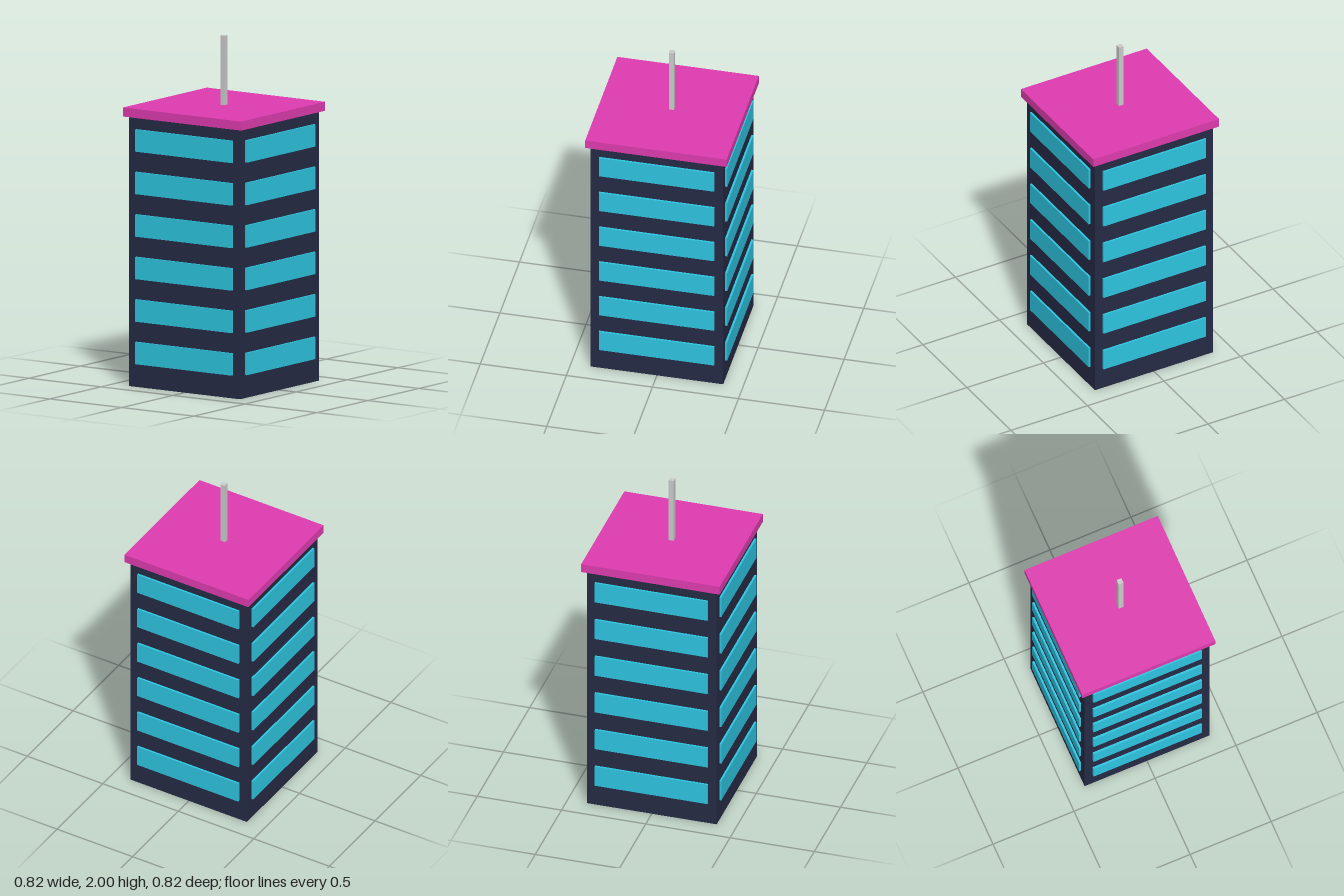
import * as THREE from 'three';

const paint = (color) => new THREE.MeshStandardMaterial({ color });

export function createModel() {
  const model = new THREE.Group();
  model.name = 'tower';
  const wall = paint(0x262b45);
  const glass = paint(0x2ec6e2);
  const pink = paint(0xdf3cb0);
  const grey = paint(0xcccccc);

  function box(name, w, h, d, x, y, z, material, parent = model) {
    const mesh = new THREE.Mesh(new THREE.BoxGeometry(w, h, d), material);
    mesh.name = name;
    mesh.position.set(x, y, z);
    parent.add(mesh);
    return mesh;
  }

  // Tower block, overhanging roof slab and mast
  box('body', 0.77, 1.55, 0.77, 0, 0.775, 0, wall);
  box('roof', 0.822, 0.052, 0.822, 0, 1.576, 0, pink);
  box('antenna', 0.03, 0.4, 0.03, 0, 1.8, 0, grey);

  // Six window bands standing slightly proud of each of the four sides
  for (let side = 0; side < 4; side++) {
    const facade = new THREE.Group();
    facade.name = 'windows' + ['Front', 'Left', 'Back', 'Right'][side];
    facade.rotation.y = side * Math.PI / 2;
    for (let floor = 0; floor < 6; floor++) {
      box('windowBand', 0.67, 0.128, 0.024, 0, 0.196 + floor * 0.2443, 0.385, glass, facade);
    }
    model.add(facade);
  }

  return model;
}
